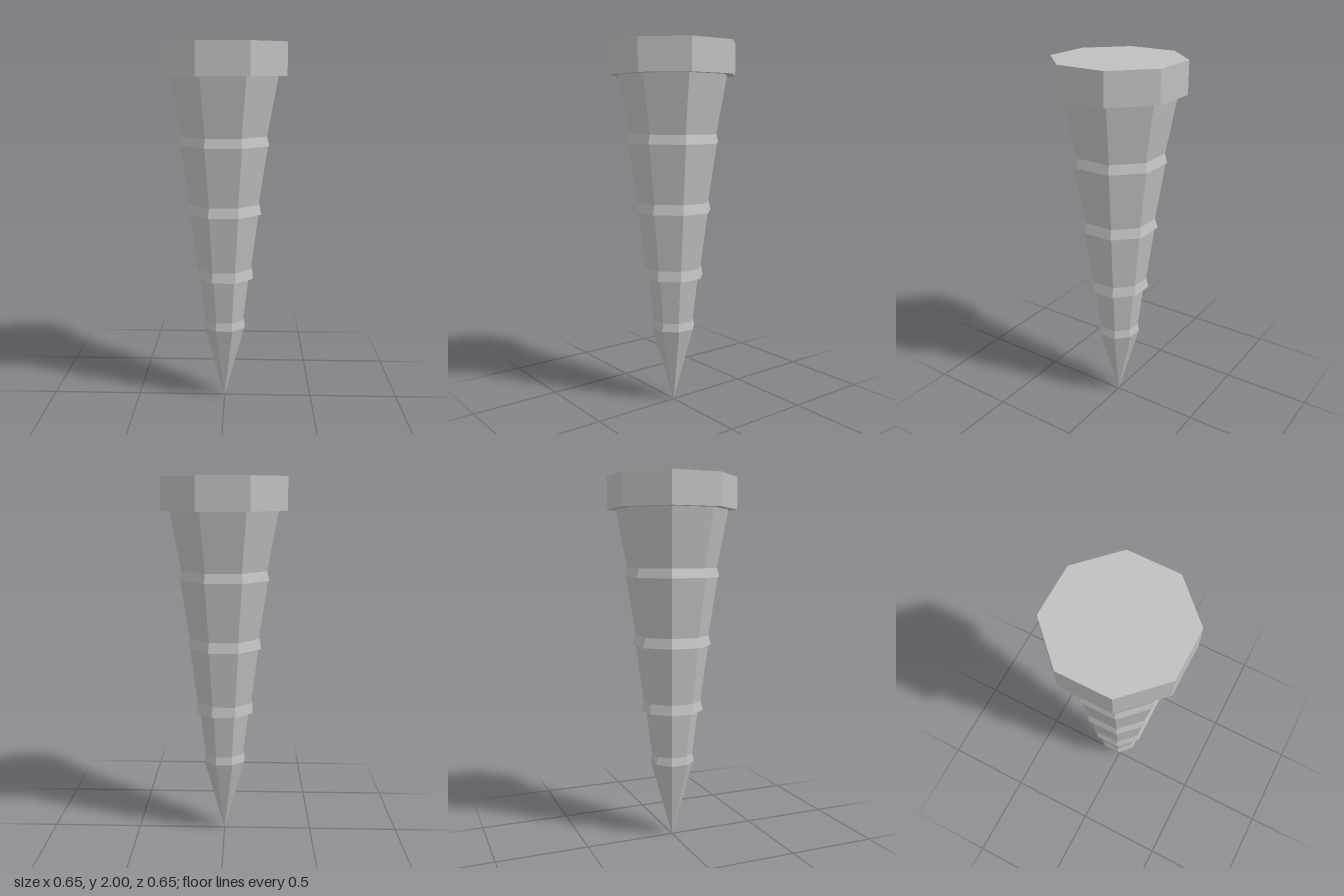
import * as THREE from 'three';

const SIDES = 8;
const CORNER = 1 / Math.cos(Math.PI / SIDES); // flat-to-centre distance -> corner radius

export function createModel() {
  const group = new THREE.Group();
  const steel = new THREE.MeshStandardMaterial({ color: 0xbfbfbf, flatShading: true });
  steel.name = 'grey steel';

  // Octagonal turned part, profile listed bottom to top as [flat radius, height]
  function turned(name, profile) {
    const points = profile.map(([r, y]) => new THREE.Vector2(r * CORNER, y));
    const mesh = new THREE.Mesh(new THREE.LatheGeometry(points, SIDES, Math.PI / SIDES), steel);
    mesh.name = name;
    group.add(mesh);
  }

  // Pointed tip
  turned('tip', [[0, 0], [0.113, 0.435]]);

  // Flared collars: bottom radius/height, top radius/height, radius of the shaft below
  const collars = [
    { low: [0.113, 0.435], high: [0.105, 0.48], under: 0.113 },
    { low: [0.158, 0.73], high: [0.147, 0.785], under: 0.134 },
    { low: [0.199, 1.098], high: [0.186, 1.152], under: 0.185 },
    { low: [0.238, 1.47], high: [0.226, 1.52], under: 0.231 },
  ];
  collars.forEach(({ low, high, under }, i) => {
    const underside = under < low[0] ? [[under, low[1]]] : [];
    turned(`collar${i + 1}`, [...underside, low, high]);

    // Tapered shaft section up to the next collar or the head
    const next = collars[i + 1];
    turned(`shaft${i + 1}`, [high, next ? [next.under, next.low[1]] : [0.28, 1.83]]);
  });

  // Flat head with its underside lip
  turned('head', [[0.28, 1.83], [0.324, 1.83], [0.324, 2], [0, 2]]);

  return group;
}
